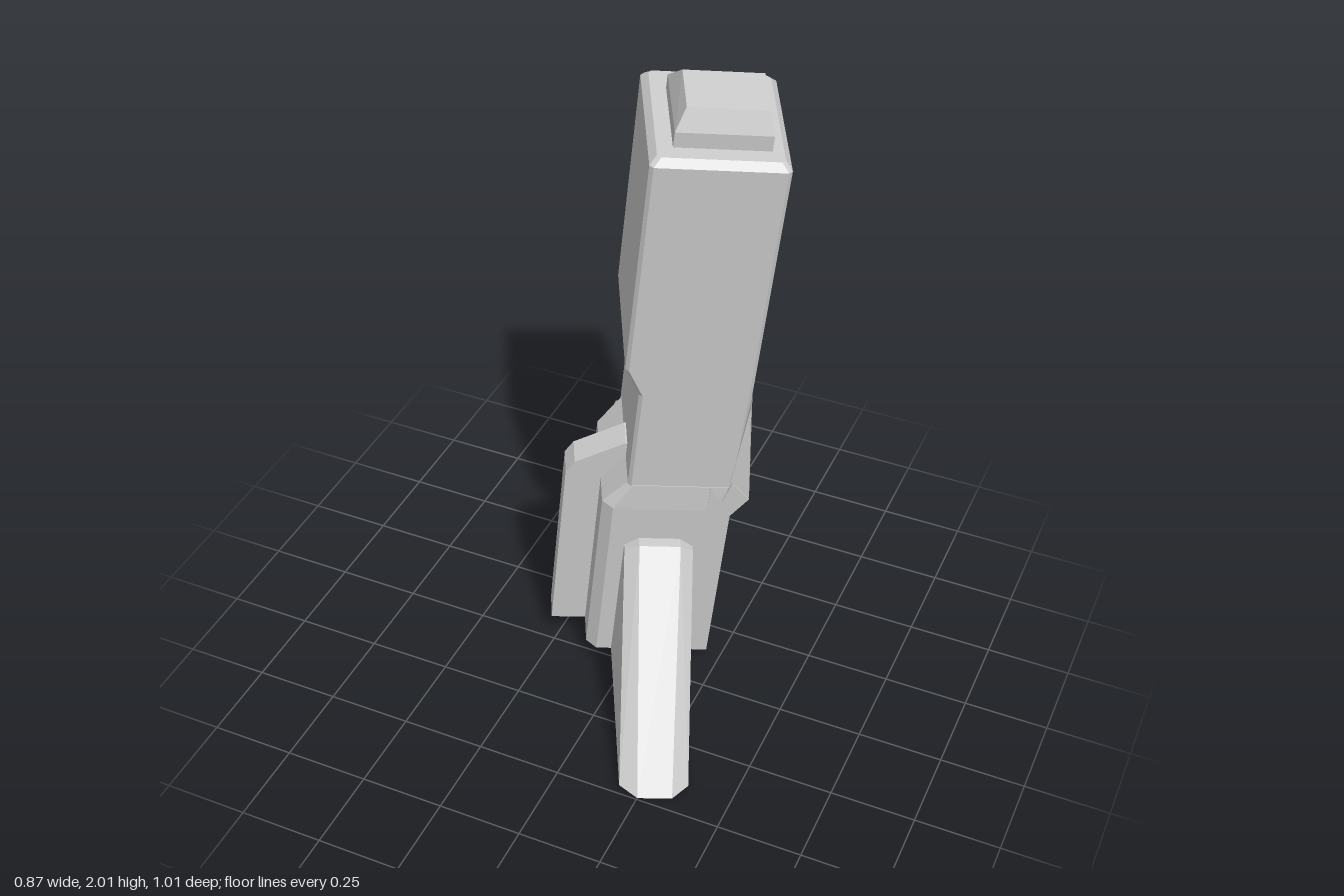
import * as THREE from 'three';
import { ConvexGeometry } from 'three/addons/geometries/ConvexGeometry.js';

const material = new THREE.MeshStandardMaterial({ color: 0xcccccc, flatShading: true });

// Ring of 8 points: a rectangle with cut corners at height y
function ring(x0, x1, z0, z1, y, c = 0.01) {
  const pts = [];
  for (const [x, sx] of [[x0, 1], [x1, -1]])
    for (const [z, sz] of [[z0, 1], [z1, -1]])
      pts.push([x + sx * c, y, z], [x, y, z + sz * c]);
  return pts;
}

// Sweep a flat profile of [x, y] pairs between two depths
const alongZ = (profile, z0, z1) => profile.flatMap(([x, y]) => [[x, y, z0], [x, y, z1]]);

export function createModel() {
  const model = new THREE.Group();
  model.name = 'tower';

  // The whole tower is turned and leans slightly
  const tower = new THREE.Group();
  tower.name = 'leaningTower';
  const up = new THREE.Vector3(0.12, 1, 0.05).normalize();
  const front = new THREE.Vector3(0.454, -0.099, 0.891).normalize();
  const side = new THREE.Vector3().crossVectors(up, front).normalize();
  front.crossVectors(side, up);
  tower.quaternion.setFromRotationMatrix(new THREE.Matrix4().makeBasis(side, up, front));
  tower.position.set(-0.03, 0.067, -0.22);
  model.add(tower);

  const solid = (name, pts) => {
    const geometry = new ConvexGeometry(pts.map(p => new THREE.Vector3(...p)));
    const mesh = new THREE.Mesh(geometry, material);
    mesh.name = name;
    tower.add(mesh);
  };

  // Shaft: wide upper block with bevelled top, stepping in to a narrower core
  solid('upperShaft', [
    ...ring(-0.135, 0.175, -0.185, 0.212, 1.04),
    ...ring(-0.18, 0.175, -0.203, 0.212, 1.13),
    ...ring(-0.18, 0.178, -0.203, 0.212, 1.805),
    ...ring(-0.162, 0.16, -0.185, 0.194, 1.825),
  ]);
  solid('core', [
    ...ring(-0.135, 0.168, -0.185, 0.212, 0.64),
    ...ring(-0.135, 0.175, -0.185, 0.212, 1.05),
  ]);

  // Cap with a sloping back
  solid('cap', [
    ...[-0.12, 0.13].flatMap(x => [[x, 1.8, 0.15], [x, 1.87, 0.15], [x, 1.8, -0.11], [x, 1.865, -0.11]]),
    ...[-0.095, 0.115].flatMap(x => [[x, 1.93, 0.125], [x, 1.935, -0.03]]),
  ]);

  // Long pointed panel on the back
  for (const [name, half, z, drop] of [['backPanel', 0.065, -0.215, 0], ['backPanelRaised', 0.048, -0.24, 0.015]]) {
    const outline = [[-half, 1.77 - drop], [half, 1.77 - drop], [half, 1.12], [0.02, 1.02 + drop], [-0.02, 1.02 + drop], [-half, 1.12]];
    solid(name, alongZ(outline, -0.16, z));
  }

  // Base block with cut corners and sloping shoulder
  solid('base', [
    ...ring(-0.2, 0.13, -0.17, 0.218, 0, 0.03),
    ...ring(-0.2, 0.13, -0.17, 0.218, 0.61, 0.03),
    ...ring(-0.135, 0.165, -0.17, 0.214, 0.7, 0.015),
  ]);

  // Buttress on the left-hand face
  const buttress = [[-0.1, 0], [-0.303, 0], [-0.303, 0.63], [-0.28, 0.67], [-0.14, 0.75], [-0.1, 0.75]];
  solid('sideButtress', alongZ(buttress, 0.01, 0.095));

  // Ribbed back wall, stepping out to a central pointed rib
  const wall = [[-0.14, 0], [0.11, 0], [0.11, 0.62], [0.05, 0.7], [-0.08, 0.7], [-0.14, 0.62]];
  solid('backWall', alongZ(wall, -0.1, -0.21));
  const chevron = [[-0.09, 0], [0.07, 0], [0.07, 0.61], [-0.01, 0.72], [-0.09, 0.61]];
  solid('backRib', alongZ(chevron, -0.1, -0.235));

  // Paired ribs on the opposite face, each topped by an overhanging shoulder
  for (const [z0, z1, reach] of [[0.1, 0.218, 0.215], [-0.15, -0.04, 0.205]]) {
    solid('ribPair', alongZ([[0.1, 0], [0.168, 0], [0.168, 0.6], [0.1, 0.7]], z0, z1));
    solid('ribShoulder', alongZ([[0.12, 0.58], [0.168, 0.59], [reach, 0.66], [0.16, 0.72]], z0, z1));
  }
  solid('ribRecess', alongZ([[0.1, 0], [0.15, 0], [0.15, 0.58], [0.19, 0.64], [0.15, 0.7]], -0.04, 0.1));

  // Faceted flares running from the shoulders up into the shaft
  solid('mainFlare', [
    [0.17, 1.48, -0.13], [0.176, 1.01, 0.212], [0.15, 0.66, 0.214], [0.15, 0.66, -0.08],
    [0.215, 0.665, 0.214], [0.205, 0.665, -0.08],
  ]);
  solid('rearFlare', [
    [0.17, 1.05, -0.18], [0.17, 1.05, -0.13], [0.14, 0.66, -0.17], [0.14, 0.66, -0.05],
    [0.205, 0.67, -0.15], [0.205, 0.67, -0.05],
  ]);

  // Back spur: a faceted head drawn down to one sharp foot
  solid('backSpur', [
    [-0.03, 0.6, -0.25], [0.01, 0.53, -0.345], [0.075, 0.55, -0.215], [-0.13, 0.53, -0.32],
    [-0.1, 0.57, -0.215], [-0.24, 0, -0.425], [0.055, 0, -0.25], [-0.06, 0, -0.2],
  ]);

  // Sloping front strut with cut edges
  const mid = -0.025;
  solid('frontStrut', [-1, 1].flatMap(s => [
    [mid + s * 0.1, 0, 0.15], [mid + s * 0.1, 0.46, 0.15], [mid + s * 0.1, 0.46, 0.235],
    [mid + s * 0.06, 0.49, 0.15], [mid + s * 0.06, 0.49, 0.25],
    [mid + s * 0.1, 0, 0.73], [mid + s * 0.05, 0, 0.775],
  ]));

  return model;
}
